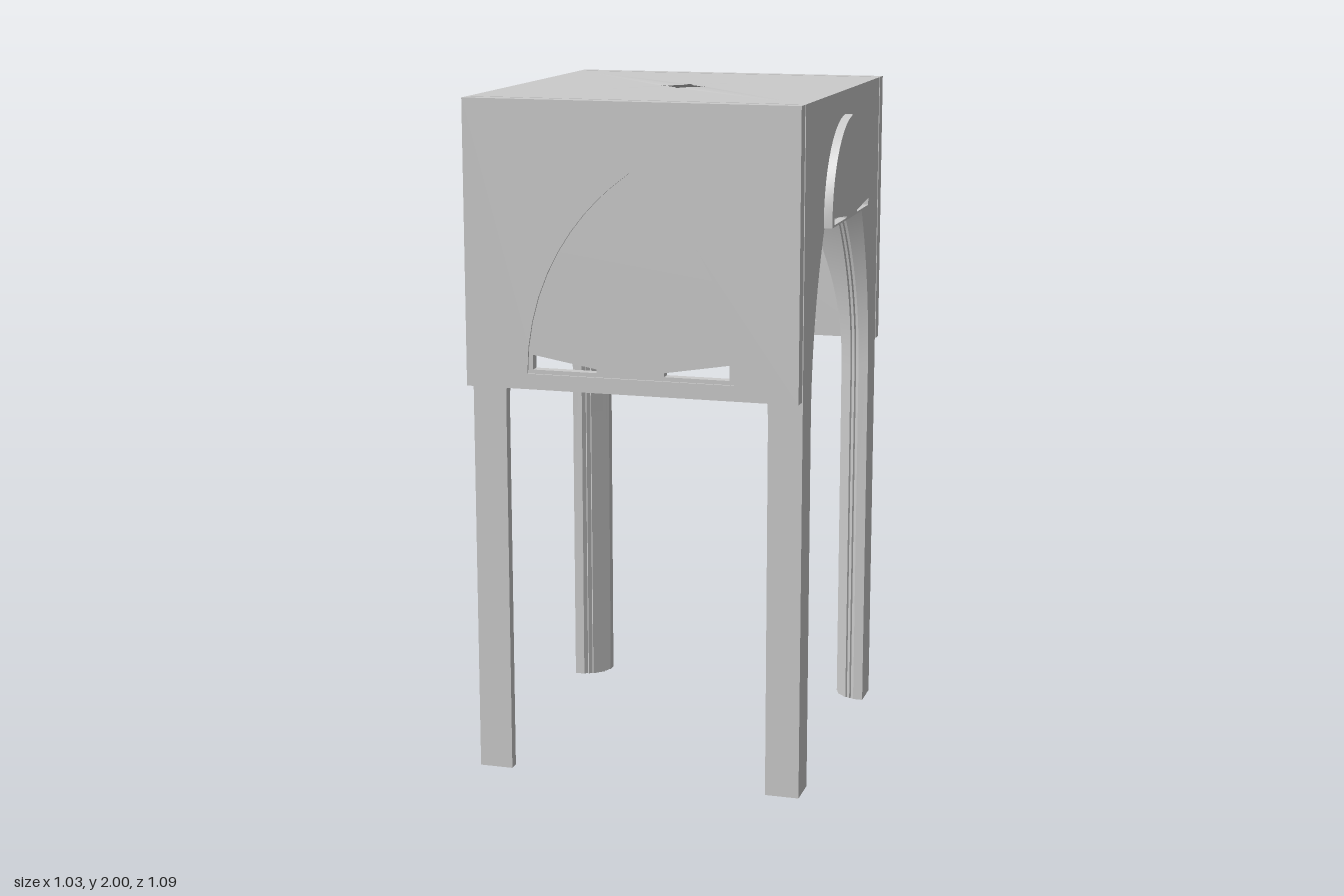
import * as THREE from 'three';
import { toCreasedNormals } from 'three/addons/utils/BufferGeometryUtils.js';

const W = 0.49;        // half width of the bay
const SPRING = 1.1;    // height where the arches start
const APEX = 1.921;    // crown of the side arches
const TOP = 2;

const mat = new THREE.MeshStandardMaterial({ color: 0xcccccc, side: THREE.DoubleSide });

// half width at height y of an arch drawn with arcs centred d beyond the middle
const arc = (half, d, y0, y) => Math.sqrt(Math.max(0, (half + d) ** 2 - Math.max(0, y - y0) ** 2)) - d;
const archHalf = y => (y >= APEX ? 0 : Math.max(0, arc(0.39, 0.67, SPRING, y)));
const vaultHalf = y => arc(0.85, 0.06, SPRING, y);

// horizontal section of one pier and its quarter of the vault: stepped diagonal inner face
function pierSection(y) {
  const h = archHalf(y), c = vaultHalf(y), r = Math.SQRT1_2;
  const len = (c - 2 * h) / r, w = 0.014, e = 0.006;
  const half = [[0, 0], [w, 0], [w, e], [2 * w, e], [2 * w, 2 * e], [3 * w, 2 * e]];
  const steps = [...half, ...half.map(([s, o]) => [len - s, o]).reverse()];
  return [
    new THREE.Vector2(W, W), new THREE.Vector2(h, W),
    ...steps.map(([s, o]) => new THREE.Vector2(h + (s - o) * r, c - h - (s + o) * r)),
    new THREE.Vector2(W, h),
  ];
}

// loft the sections upwards into a closed solid
function pierGeometry() {
  const levels = [0, SPRING];
  for (let i = 1; i <= 20; i++) levels.push(SPRING + (APEX - SPRING) * i / 20);
  for (let i = 1; i <= 4; i++) levels.push(APEX + (TOP - APEX) * i / 4);
  const rings = levels.map(pierSection), n = rings[0].length;
  const pos = [], idx = [];
  rings.forEach((ring, k) => ring.forEach(p => pos.push(p.x, levels[k], p.y)));
  for (let k = 0; k < rings.length - 1; k++) {
    for (let i = 0; i < n; i++) {
      const a = k * n + i, b = k * n + (i + 1) % n;
      idx.push(a, a + n, b, b, a + n, b + n);
    }
  }
  const last = (rings.length - 1) * n;
  THREE.ShapeUtils.triangulateShape(rings[0], []).forEach(([a, b, c]) => idx.push(a, b, c));
  THREE.ShapeUtils.triangulateShape(rings[rings.length - 1], [])
    .forEach(([a, b, c]) => idx.push(last + a, last + c, last + b));
  const geo = new THREE.BufferGeometry();
  geo.setAttribute('position', new THREE.Float32BufferAttribute(pos, 3));
  geo.setIndex(idx);
  return toCreasedNormals(geo, 0.4);
}

// outline of a pointed arch standing on a flat sill
function archPoints(half, d, sill, spring, crown) {
  const right = [];
  for (let i = 0; i <= 12; i++) {
    const y = spring + (crown - spring) * Math.sin(i / 12 * Math.PI / 2);
    right.push(new THREE.Vector2(i === 12 ? 0 : arc(half, d, spring, y), y));
  }
  const left = right.slice(0, -1).reverse().map(p => new THREE.Vector2(-p.x, p.y));
  const base = spring > sill ? [new THREE.Vector2(-half, sill), new THREE.Vector2(half, sill)] : [];
  return [...right, ...left, ...base];
}

// a pair of thin wedge openings just above a sill
function slits(x0, x1, y0, yIn, yOut) {
  return [1, -1].map(s => new THREE.Path([
    new THREE.Vector2(s * x0, y0), new THREE.Vector2(s * x1, y0),
    new THREE.Vector2(s * x1, yOut), new THREE.Vector2(s * x0, yIn),
  ]));
}

function plate(name, points, holes, depth, z) {
  const shape = new THREE.Shape(points);
  shape.holes.push(...holes);
  const geo = new THREE.ExtrudeGeometry(shape, { depth, bevelEnabled: false });
  const mesh = new THREE.Mesh(toCreasedNormals(geo, 0.4), mat);
  mesh.name = name;
  mesh.position.z = z;
  return mesh;
}

export function createModel() {
  const model = new THREE.Group();
  model.name = 'vaultedBay';

  // four piers that spread into the vault and meet at the diamond opening
  const vault = new THREE.Group();
  vault.name = 'piersAndVault';
  vault.scale.z = 1.01;
  const pier = pierGeometry();
  for (let i = 0; i < 4; i++) {
    const mesh = new THREE.Mesh(pier, mat);
    mesh.name = 'pierWithVaultQuarter';
    mesh.rotation.y = i * Math.PI / 2;
    vault.add(mesh);
  }
  model.add(vault);

  // front and back wall panels, each with a filled pointed arch
  const wall = [[-W, 1.175], [W, 1.175], [W, TOP], [-W, TOP]].map(p => new THREE.Vector2(...p));
  const opening = archPoints(0.305, 0.4, 1.22, 1.22, 1.803);
  for (let i = 0; i < 2; i++) {
    const panel = new THREE.Group();
    panel.name = i ? 'backPanel' : 'frontPanel';
    panel.rotation.y = i * Math.PI;
    panel.add(plate('panelWall', wall, [new THREE.Path(opening)], 0.042, 0.505));
    panel.add(plate('archInfill', opening, slits(0.1, 0.29, 1.232, 1.243, 1.275), 0.03, 0.511));
    model.add(panel);
  }

  // raised lunettes over the side arches
  const lunette = archPoints(0.26, 0.02, 1.63, 1.65, 1.93);
  for (const s of [1, -1]) {
    const side = new THREE.Group();
    side.name = s > 0 ? 'leftLunette' : 'rightLunette';
    side.rotation.y = s * Math.PI / 2;
    side.add(plate('lunetteSlab', lunette, slits(0.07, 0.235, 1.636, 1.641, 1.657), 0.025, W));
    model.add(side);
  }
  return model;
}
